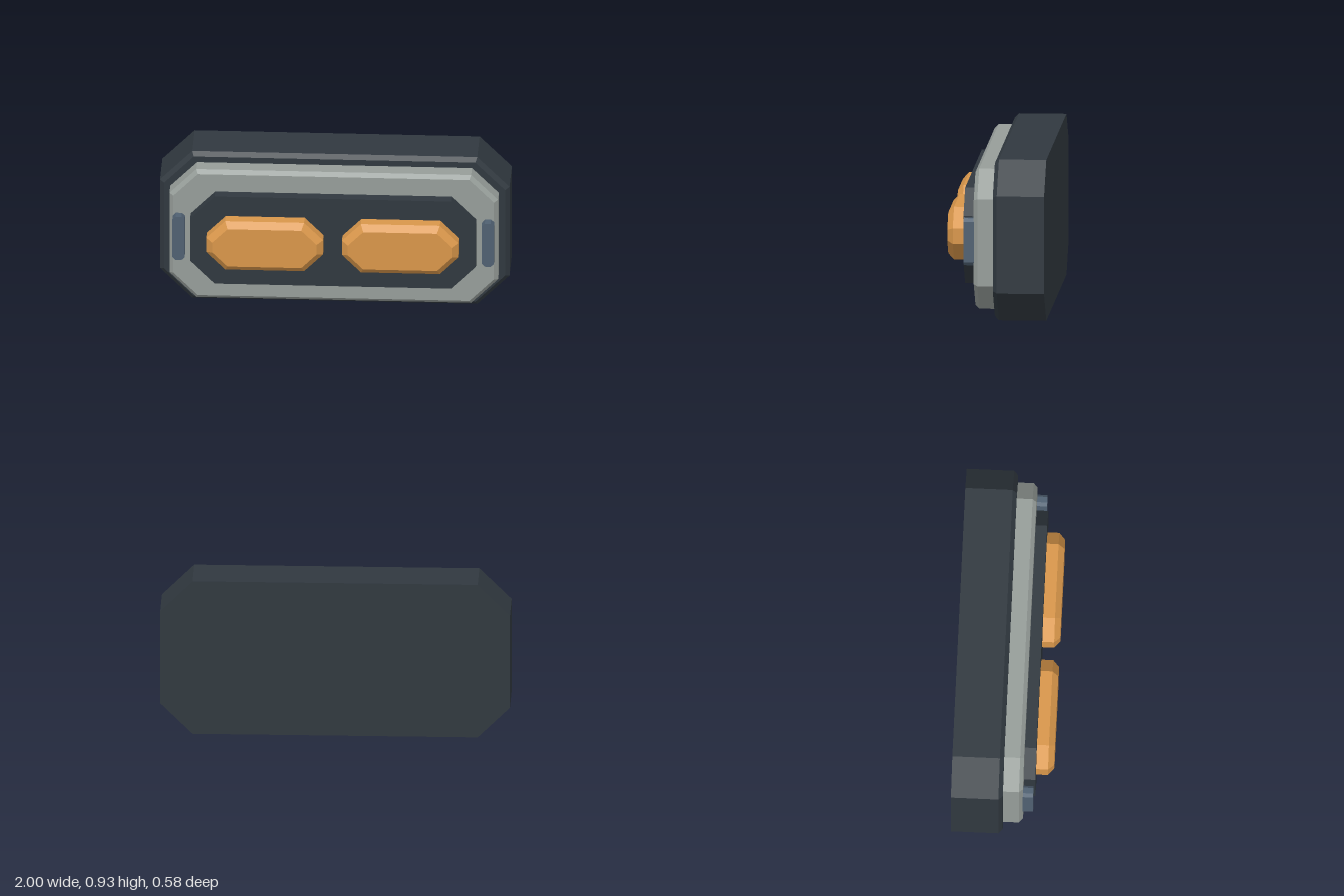
import * as THREE from 'three';

const material = (name, color) => {
  const m = new THREE.MeshStandardMaterial({ color });
  m.name = name;
  return m;
};

// Octagon (rectangle with cut corners), counter-clockwise seen from +z
function octagon(halfW, halfH, cut, z) {
  const a = halfW - cut, b = halfH - cut;
  return [
    [halfW, -b, z], [halfW, b, z], [a, halfH, z], [-a, halfH, z],
    [-halfW, b, z], [-halfW, -b, z], [-a, -halfH, z], [a, -halfH, z],
  ];
}

// Octagonal slab from zBack to zFront with an optional bevelled front rim
function slab(w, h, cut, zBack, zFront, inset = 0, depth = 0) {
  const rings = [octagon(w / 2, h / 2, cut, zBack)];
  if (inset) {
    rings.push(octagon(w / 2, h / 2, cut, zFront - depth));
    // an even offset shortens the cut by this factor
    const smallCut = cut - inset * (2 - Math.SQRT2);
    rings.push(octagon(w / 2 - inset, h / 2 - inset, smallCut, zFront));
  } else {
    rings.push(octagon(w / 2, h / 2, cut, zFront));
  }

  const index = [];
  const last = (rings.length - 1) * 8;
  for (let r = 0; r < last; r += 8) {
    for (let i = 0; i < 8; i++) {
      const j = (i + 1) % 8;
      index.push(r + i, r + j, r + 8 + j, r + i, r + 8 + j, r + 8 + i);
    }
  }
  for (let i = 1; i < 7; i++) {
    index.push(0, i + 1, i, last, last + i, last + i + 1);
  }

  const geometry = new THREE.BufferGeometry();
  geometry.setAttribute('position', new THREE.Float32BufferAttribute(rings.flat(2), 3));
  geometry.setIndex(index);
  const flat = geometry.toNonIndexed();
  flat.computeVertexNormals();
  return flat;
}

export function createModel() {
  const group = new THREE.Group();
  group.name = 'wallLamp';

  const dark = material('darkHousing', 0x30383f);
  const grey = material('greyBezel', 0x969d99);
  const amber = material('amberLens', 0xd8964a);
  const steel = material('blueSteel', 0x4f6071);

  const add = (name, geometry, mat, x, y) => {
    const mesh = new THREE.Mesh(geometry, mat);
    mesh.name = name;
    mesh.position.set(x, y, 0);
    group.add(mesh);
  };

  // Stacked body, back to front
  add('housing', slab(2, 0.93, 0.184, -0.288, 0.007, 0.024, 0.024), dark, 0, 0.465);
  add('bezel', slab(1.88, 0.81, 0.153, 0, 0.12, 0.022, 0.022), grey, 0, 0.466);
  add('innerPanel', slab(1.636, 0.552, 0.142, 0.1, 0.186), dark, 0, 0.466);

  // Paired lenses and side clips
  for (const [side, s] of [['left', 1], ['right', -1]]) {
    add(side + 'Lens', slab(0.666, 0.306, 0.108, 0.17, 0.288, 0.035, 0.034), amber, s * 0.387, 0.467);
    add(side + 'Clip', slab(0.07, 0.272, 0.018, 0.113, 0.178), steel, s * 0.885, 0.466);
  }
  return group;
}
